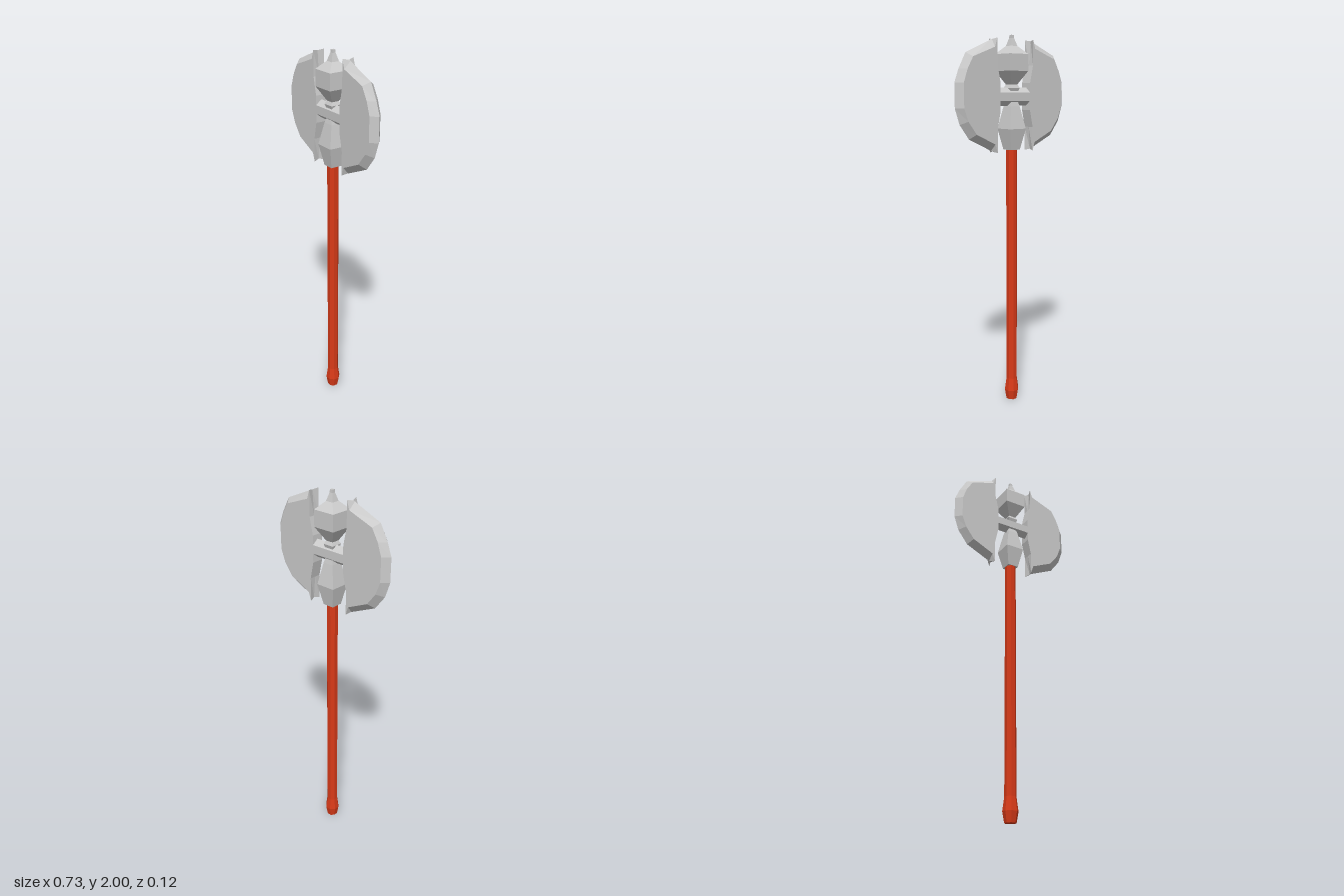
import * as THREE from 'three';

const metal = new THREE.MeshStandardMaterial({ color: 0xcccccc, flatShading: true });
const red = new THREE.MeshStandardMaterial({ color: 0xd83a18, flatShading: true });

// Joins equal-length rings of [x, y, z]; rings turn counter-clockwise seen from the last ring's side.
function loft(rings, capped) {
  const n = rings[0].length;
  const index = [];
  for (let i = 0; i < rings.length - 1; i++) {
    for (let j = 0; j < n; j++) {
      const k = (j + 1) % n;
      const a = i * n + j, b = i * n + k, c = a + n, d = b + n;
      index.push(a, b, d, a, d, c);
    }
  }
  if (capped) {
    const last = (rings.length - 1) * n;
    const outline = rings[0].map(([x, y]) => new THREE.Vector2(x, y));
    for (const [a, b, c] of THREE.ShapeUtils.triangulateShape(outline, [])) {
      index.push(c, b, a, last + a, last + b, last + c);
    }
  }
  const geometry = new THREE.BufferGeometry();
  geometry.setAttribute('position', new THREE.Float32BufferAttribute(rings.flat(2), 3));
  geometry.setIndex(index);
  geometry.computeVertexNormals();
  return geometry;
}

// Lathe from [radius, y] pairs; flats face the axes, radius is measured to the flat.
function turned(profile, sides) {
  const k = 1 / Math.cos(Math.PI / sides);
  const points = profile.map(([r, y]) => new THREE.Vector2(r * k, y));
  return new THREE.LatheGeometry(points, sides, Math.PI / sides);
}

function add(group, name, geometry, material) {
  const mesh = new THREE.Mesh(geometry, material);
  mesh.name = name;
  group.add(mesh);
  return mesh;
}

export function createModel() {
  const group = new THREE.Group();
  group.name = 'battleAxe';

  // Shaft with a swollen pommel
  add(group, 'handle', turned([[0, 0], [0.028, 0], [0.037, 0.055], [0.028, 0.125], [0.028, 1.42]], 8), red);

  // Square-section socket, waist and top spike
  add(group, 'socketAndSpike', turned([
    [0, 1.415], [0.031, 1.415], [0.053, 1.525], [0.03, 1.64], [0.022, 1.67], [0.022, 1.71],
    [0.03, 1.735], [0.021, 1.752], [0.061, 1.82], [0.061, 1.905], [0.021, 1.945], [0.009, 1.985],
    [0.008, 2], [0, 2],
  ], 4), metal);

  // Hexagonal cross bar, flaring where it meets the blades
  const hex = [[0.047, 0], [0.022, 0.032], [-0.022, 0.032], [-0.047, 0], [-0.022, -0.032], [0.022, -0.032]];
  const stations = [[-0.12, 1.45], [-0.1, 1], [0.1, 1], [0.12, 1.45]];
  add(group, 'crossBar', loft(stations.map(([x, s]) => hex.map(([y, z]) => [x, 1.69 + y * s, z])), false), metal);

  // Blade: flat cheeks, sharp rim in the middle plane, concave back
  const back = [[0.12, 1.85], [0.1, 1.76], [0.1, 1.62], [0.12, 1.53]];
  const cheek = [
    [0.12, 1.405], [0.135, 1.45], [0.255, 1.505], [0.305, 1.57], [0.33, 1.635], [0.33, 1.76],
    [0.307, 1.825], [0.272, 1.885], [0.135, 1.935], [0.12, 1.98], ...back,
  ];
  const rim = [
    [0.13, 1.412], [0.14, 1.416], [0.28, 1.48], [0.337, 1.555], [0.364, 1.635], [0.364, 1.76],
    [0.339, 1.825], [0.295, 1.905], [0.14, 1.97], [0.13, 1.974], ...back,
  ];
  const at = (outline, z) => outline.map(([x, y]) => [x, y, z]);
  const blade = loft([at(cheek, -0.032), at(rim, 0), at(cheek, 0.032)], true);
  add(group, 'leftBlade', blade, metal);
  add(group, 'rightBlade', blade, metal).rotation.y = Math.PI;

  return group;
}
